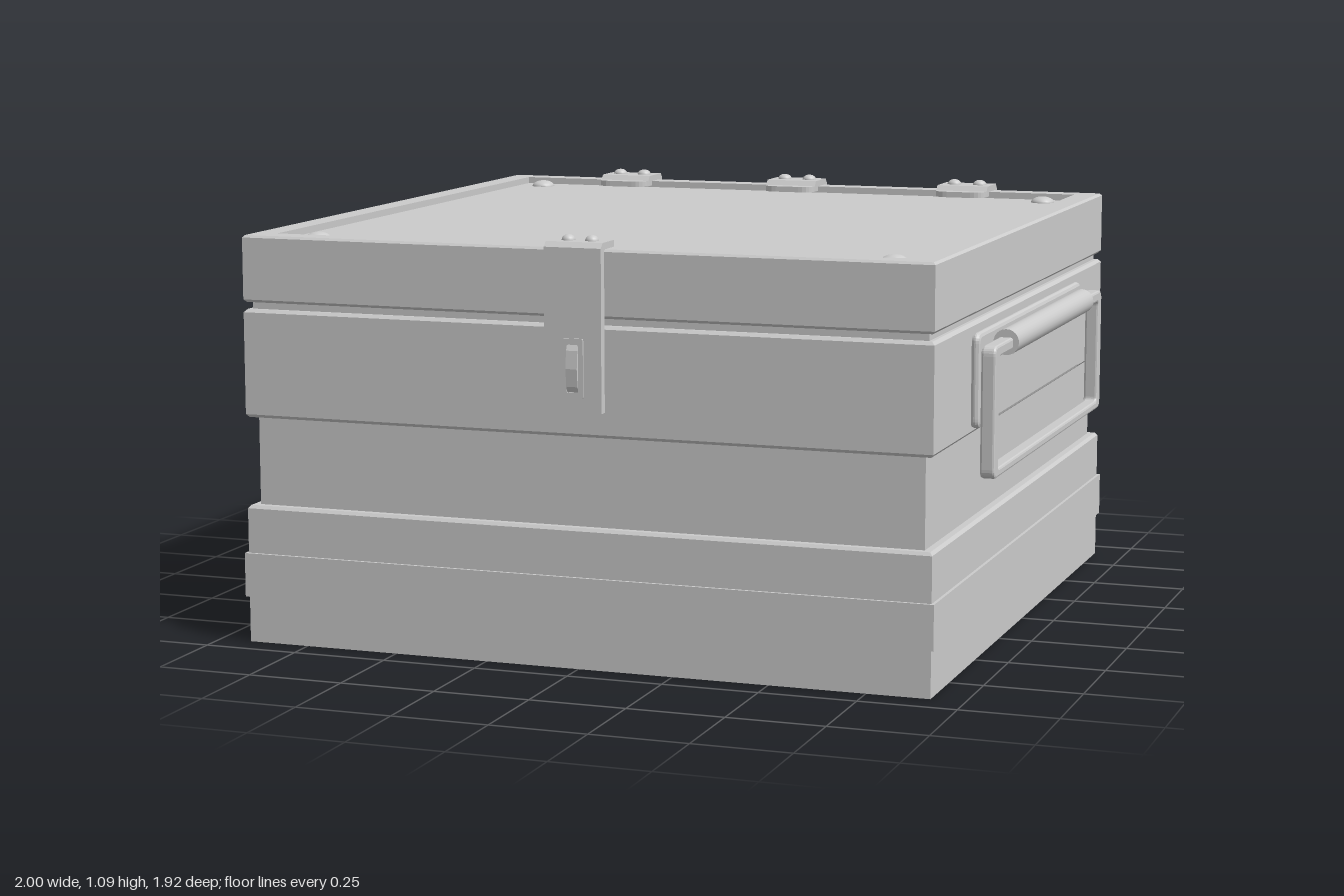
import * as THREE from 'three';

const material = new THREE.MeshStandardMaterial({ color: 0xcccccc });
const flatMaterial = new THREE.MeshStandardMaterial({ color: 0xcccccc, flatShading: true });
const CZ = 0.011; // depth centre of the box

function add(parent, name, geometry, mat = flatMaterial) {
  const mesh = new THREE.Mesh(geometry, mat);
  mesh.name = name;
  parent.add(mesh);
  return mesh;
}

// Square-section solid from a profile of [half width, height] pairs
function squareLathe(profile) {
  const points = profile.map(([h, y]) => new THREE.Vector2(h * Math.SQRT2, y));
  return new THREE.LatheGeometry(points, 4, Math.PI / 4).toNonIndexed().translate(0, 0, CZ);
}

// Rounded rectangle outline; r1 rounds the low-y corners, r2 the high-y ones
function roundRect(Target, x0, y0, x1, y1, r1, r2 = r1) {
  const s = new Target();
  s.moveTo(x0 + r1, y0);
  s.lineTo(x1 - r1, y0);
  s.quadraticCurveTo(x1, y0, x1, y0 + r1);
  s.lineTo(x1, y1 - r2);
  s.quadraticCurveTo(x1, y1, x1 - r2, y1);
  s.lineTo(x0 + r2, y1);
  s.quadraticCurveTo(x0, y1, x0, y1 - r2);
  s.lineTo(x0, y0 + r1);
  s.quadraticCurveTo(x0, y0, x0 + r1, y0);
  return s;
}

function extrude(shape, depth, bevel = 0) {
  return new THREE.ExtrudeGeometry(shape, {
    depth: depth - 2 * bevel, bevelEnabled: bevel > 0, bevelSize: bevel,
    bevelThickness: bevel, bevelOffset: -bevel, bevelSegments: 2, curveSegments: 6,
  }).translate(0, 0, bevel);
}

// Strip bent along a [z, y] outline, spanning the given width in x
function strip(outline, width) {
  const shape = new THREE.Shape(outline.map(([z, y]) => new THREE.Vector2(-z, y)));
  return extrude(shape, width).translate(0, 0, -width / 2).rotateY(Math.PI / 2);
}

// Domed rivet head pointing up
function rivet(parent, r, h, x, y, z) {
  const dome = new THREE.SphereGeometry(r, 20, 6, 0, Math.PI * 2, 0, Math.PI / 2).scale(1, h / r, 1);
  const mesh = add(parent, 'rivet', dome, material);
  mesh.position.set(x, y, z);
  return mesh;
}

function makeHinge() {
  const hinge = new THREE.Group();
  hinge.name = 'hinge';
  // Leaf folded over the lid edge, with the knuckle bulging at the back
  add(hinge, 'hingeLeaf', strip([
    [-0.80, 1.058], [-0.815, 1.077], [-0.912, 1.077], [-0.925, 1.064], [-0.925, 0.945],
    [-0.957, 0.918], [-0.957, 0.872], [-0.925, 0.845], [-0.925, 0.81], [-0.90, 0.81],
    [-0.90, 1.058],
  ], 0.15));
  // Rounded tab reaching down onto the lid panel
  const tab = extrude(roundRect(THREE.Shape, -0.075, -0.07, 0.075, 0, 0.04, 0), 0.016);
  tab.rotateX(-Math.PI / 2).translate(0, 1.047, -0.838);
  add(hinge, 'hingeTab', tab);
  // Rounded lower plate
  const plate = extrude(roundRect(THREE.Shape, -0.075, 0.70, 0.075, 0.83, 0.045, 0), 0.023);
  add(hinge, 'hingePlate', plate.translate(0, 0, -0.925));
  for (const x of [-0.038, 0.038]) {
    rivet(hinge, 0.02, 0.014, x, 1.077, -0.868);
    rivet(hinge, 0.022, 0.016, x, 0.77, -0.925).rotation.x = -Math.PI / 2;
  }
  return hinge;
}

function makeClasp() {
  const clasp = new THREE.Group();
  clasp.name = 'clasp';
  add(clasp, 'claspStrap', strip([
    [0.858, 1.058], [0.858, 1.077], [0.935, 1.077], [0.948, 1.064], [0.948, 0.655],
    [0.925, 0.655], [0.925, 1.058],
  ], 0.15));
  // Raised loop with a central slot
  const loop = roundRect(THREE.Shape, -0.028, 0.69, 0.028, 0.84, 0.006);
  loop.holes.push(roundRect(THREE.Path, -0.015, 0.705, 0.015, 0.825, 0.004));
  add(clasp, 'loopFrame', extrude(loop, 0.006).translate(0, 0, 0.946));
  add(clasp, 'loop', strip([
    [0.945, 0.70], [0.955, 0.72], [0.96, 0.765], [0.955, 0.81], [0.945, 0.83],
  ], 0.03));
  for (const x of [-0.031, 0.031]) rivet(clasp, 0.017, 0.014, x, 1.077, 0.893);
  return clasp;
}

function makeHandle(side) {
  const handle = new THREE.Group();
  handle.name = side > 0 ? 'leftHandle' : 'rightHandle';
  // Mounting plate on the wall
  const plate = extrude(roundRect(THREE.Shape, -0.565, 0.605, 0.565, 0.845, 0.025), 0.024, 0.01);
  add(handle, 'handlePlate', plate.rotateY(Math.PI / 2).translate(0.91, 0, CZ));
  // Swinging rectangular bail
  const bail = roundRect(THREE.Shape, -0.603, 0.487, 0.603, 0.82, 0.025);
  bail.holes.push(roundRect(THREE.Path, -0.562, 0.51, 0.562, 0.79, 0.012));
  add(handle, 'handleFrame', extrude(bail, 0.038, 0.006).rotateY(Math.PI / 2).translate(0.947, 0, CZ));
  // Round grip sleeve
  const grip = new THREE.CylinderGeometry(0.033, 0.033, 0.855, 24).rotateX(Math.PI / 2);
  add(handle, 'handleGrip', grip.translate(0.967, 0.808, CZ), material);
  if (side < 0) handle.rotation.y = Math.PI;
  if (side < 0) handle.position.z = 2 * CZ;
  return handle;
}

export function createModel() {
  const model = new THREE.Group();
  model.name = 'storageBox';

  // Stepped body with raised bands and a recessed waist
  add(model, 'body', squareLathe([
    [0, 0], [0.913, 0], [0.913, 0.12], [0.921, 0.12], [0.921, 0.235], [0.913, 0.235],
    [0.913, 0.352], [0.906, 0.36], [0.888, 0.36], [0.888, 0.59], [0.906, 0.59], [0.913, 0.598],
    [0.913, 0.862], [0.905, 0.87], [0.895, 0.87], [0.895, 0.89],
  ]));
  // Lid with a raised rim around its panel
  add(model, 'lid', squareLathe([
    [0.893, 0.888], [0.906, 0.888], [0.913, 0.895], [0.913, 1.054], [0.907, 1.06],
    [0.846, 1.06], [0.846, 1.042], [0, 1.042],
  ]));
  for (const x of [-0.77, 0.77]) {
    for (const z of [-0.77, 0.77]) rivet(model, 0.033, 0.017, x, 1.042, z + 0.006);
  }

  for (const x of [-0.522, 0, 0.52]) {
    const hinge = makeHinge();
    hinge.position.x = x;
    model.add(hinge);
  }
  model.add(makeClasp(), makeHandle(1), makeHandle(-1));
  return model;
}
